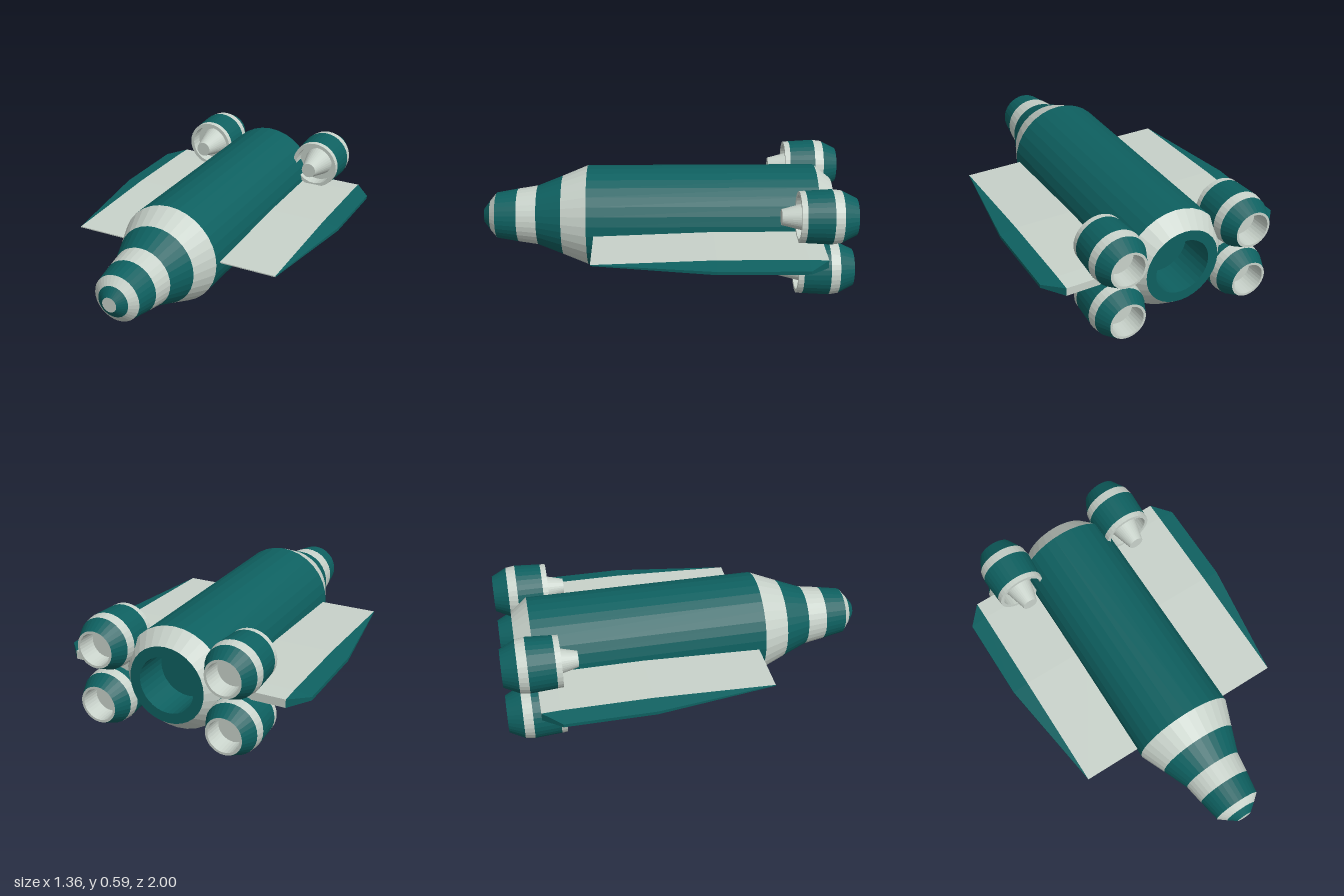
import * as THREE from 'three';

const GREY = new THREE.MeshStandardMaterial({ color: 0xc8d2ca, flatShading: true });
const TEAL = new THREE.MeshStandardMaterial({ color: 0x0e6060, flatShading: true });
const AXIS_Y = 0.298;

// Turned part along z: each band is [name, material, [[radius, z], ...]], ordered back to front
function turned(name, bands, segments = 32) {
  const group = new THREE.Group();
  group.name = name;
  for (const [bandName, material, points] of bands) {
    const geometry = new THREE.LatheGeometry(points.map(([r, z]) => new THREE.Vector2(r, z)), segments);
    geometry.rotateX(Math.PI / 2);
    const mesh = new THREE.Mesh(geometry, material);
    mesh.name = bandName;
    group.add(mesh);
  }
  return group;
}

// Solid between two wing sections; each section is a list of [x, z, halfThickness] stations
function loft(inner, outer) {
  const ring = (s) => [
    ...s.map(([x, z, h]) => [x, h, z]),
    ...s.map(([x, z, h]) => [x, -h, z]).reverse(),
  ];
  const a = ring(inner), b = ring(outer), n = a.length, m = inner.length;
  const index = [];
  for (let i = 0; i < n; i++) {
    const j = (i + 1) % n;
    index.push(i, n + i, n + j, i, n + j, j);
  }
  // Inner and outer end caps
  for (let i = 0; i < m - 1; i++) {
    const p = i, q = i + 1, r = n - 2 - i, s = n - 1 - i;
    index.push(p, q, r, p, r, s, n + p, n + r, n + q, n + p, n + s, n + r);
  }
  const geometry = new THREE.BufferGeometry();
  geometry.setAttribute('position', new THREE.Float32BufferAttribute([...a, ...b].flat(), 3));
  geometry.setIndex(index);
  const flat = geometry.toNonIndexed();
  flat.computeVertexNormals();
  return flat;
}

function createWing(side) {
  const wing = new THREE.Group();
  wing.name = side > 0 ? 'leftWing' : 'rightWing';
  const section = (x) => [[x, 0.38, 0.003], [x, -0.26, 0.026], [x, -0.73, 0.026], [x, -0.83, 0.022]];
  const tip = [[0.68, -0.26, 0.009], [0.68, -0.26, 0.009], [0.68, -0.73, 0.009], [0.68, -0.73, 0.009]];
  const panel = new THREE.Mesh(loft(section(0.2), section(0.59)), GREY);
  panel.name = 'wingPanel';
  const edge = new THREE.Mesh(loft(section(0.59), tip), TEAL);
  edge.name = 'wingTip';
  wing.add(panel, edge);
  // Half a turn about z mirrors the symmetric wing and keeps its winding
  if (side < 0) wing.rotation.z = Math.PI;
  wing.position.y = AXIS_Y;
  return wing;
}

function createEngine(name) {
  return turned(name, [
    ['exhaust', GREY, [[0, -0.9], [0.08, -0.9], [0.085, -1], [0.098, -1]]],
    ['rearCowl', TEAL, [[0.098, -1], [0.138, -0.92]]],
    ['cowlBand', GREY, [[0.138, -0.92], [0.145, -0.87]]],
    ['cowl', TEAL, [[0.145, -0.87], [0.137, -0.73]]],
    ['intake', GREY, [[0.137, -0.73], [0.135, -0.7], [0.115, -0.7], [0.115, -0.77], [0.083, -0.77]]],
    ['intakeSpike', GREY, [[0.083, -0.77], [0.042, -0.61], [0, -0.61]]],
  ]);
}

export function createModel() {
  const model = new THREE.Group();
  model.name = 'rocketShip';

  // Fuselage with alternating bands and a rear bore
  const body = turned('fuselage', [
    ['mainNozzle', TEAL, [[0, -0.72], [0.15, -0.72], [0.15, -0.92], [0.205, -0.92]]],
    ['tailRing', GREY, [[0.205, -0.92], [0.277, -0.83]]],
    ['hull', TEAL, [[0.277, -0.83], [0.277, 0.42]]],
    ['shoulder', GREY, [[0.277, 0.42], [0.22, 0.56]]],
    ['shoulderBand', TEAL, [[0.22, 0.56], [0.165, 0.7]]],
    ['neck', GREY, [[0.165, 0.7], [0.148, 0.81]]],
    ['neckBand', TEAL, [[0.148, 0.81], [0.127, 0.93]]],
    ['noseRing', GREY, [[0.127, 0.93], [0.085, 0.965]]],
    ['nose', TEAL, [[0.085, 0.965], [0.04, 1]]],
    ['noseCap', GREY, [[0.04, 1], [0, 1]]],
  ]);
  body.position.y = AXIS_Y;
  model.add(body);

  // Wings and four engines
  for (const side of [1, -1]) {
    model.add(createWing(side));
    for (const level of [1, -1]) {
      const engine = createEngine((level > 0 ? 'upper' : 'lower') + (side > 0 ? 'Left' : 'Right') + 'Engine');
      engine.position.set(side * 0.35, AXIS_Y + level * 0.15, 0);
      model.add(engine);
    }
  }
  return model;
}
